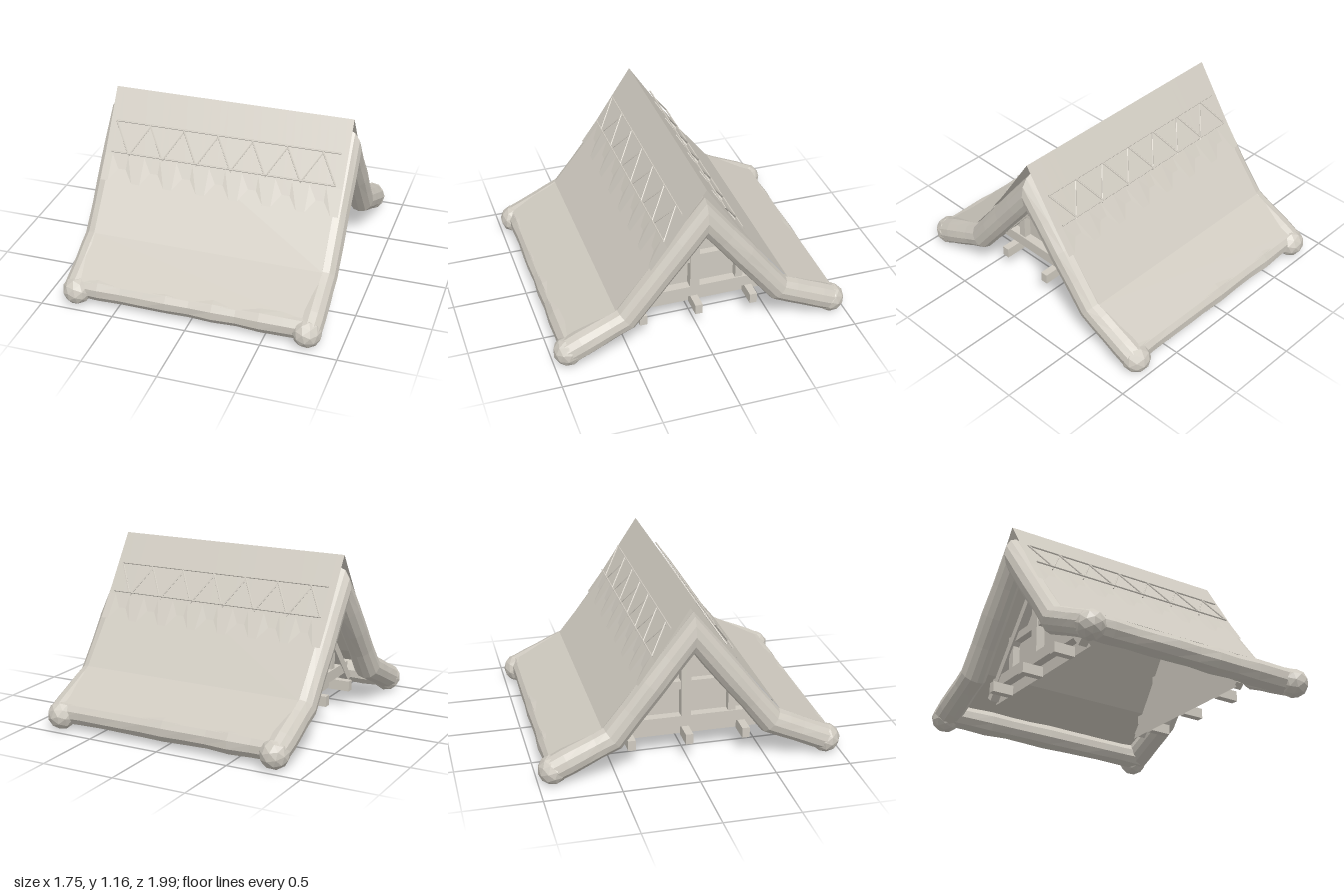
import * as THREE from 'three';

let seed = 7;
const rand = () => ((seed = (seed * 16807) % 2147483647) / 2147483647) * 2 - 1;

// Flat-shaded surface through rows of points
function grid(rows) {
  const pos = rows.flat().flat();
  const n = rows[0].length, index = [];
  for (let i = 0; i < rows.length - 1; i++) {
    for (let j = 0; j < n - 1; j++) {
      const a = i * n + j, b = a + n;
      index.push(a, b, b + 1, a, b + 1, a + 1);
    }
  }
  const g = new THREE.BufferGeometry();
  g.setAttribute('position', new THREE.Float32BufferAttribute(pos, 3));
  g.setIndex(index);
  const flat = g.toNonIndexed();
  flat.computeVertexNormals();
  return flat;
}

// Rough log following a mitred path in the xy plane
function logGeometry(path, r, wobble, sides = 10) {
  const rows = path.map((p, i) => {
    const a = path[Math.max(i - 1, 0)], b = path[Math.min(i + 1, path.length - 1)];
    const normal = (s, e) => new THREE.Vector2(s[1] - e[1], e[0] - s[0]).normalize();
    const n1 = i > 0 ? normal(a, p) : normal(p, b);
    const n2 = i < path.length - 1 ? normal(p, b) : n1;
    const n = n1.clone().add(n2).normalize();
    const mitre = 1 / n.dot(n1);
    const rr = r * (1 + rand() * wobble), ring = [];
    for (let j = 0; j < sides; j++) {
      const t = (j / sides) * Math.PI * 2 + Math.PI / 2;
      const k = rr * (1 + rand() * wobble * 0.4);
      ring.push([p[0] + n.x * mitre * k * Math.sin(t), p[1] + n.y * mitre * k * Math.sin(t), k * Math.cos(t)]);
    }
    return [...ring, ring[0]];
  });
  return grid(rows);
}

// Adds evenly spaced points between the corners of a path
function subdivide(corners, n) {
  const out = [corners[0]];
  for (let i = 1; i < corners.length; i++) {
    const [a, b] = [corners[i - 1], corners[i]];
    for (let k = 1; k <= n; k++) out.push([a[0] + (b[0] - a[0]) * k / n, a[1] + (b[1] - a[1]) * k / n]);
  }
  return out;
}

export function createModel() {
  seed = 7;
  const model = new THREE.Group();
  model.name = 'thatchedRoof';
  const straw = new THREE.MeshStandardMaterial({ color: 0xcfcac0, side: THREE.DoubleSide, flatShading: true });
  straw.name = 'pale straw';

  const add = (parent, name, geometry, x = 0, y = 0, z = 0) => {
    const m = new THREE.Mesh(geometry, straw);
    m.name = name;
    m.position.set(x, y, z);
    parent.add(m);
    return m;
  };
  const rod = (parent, name, a, b, r) => {
    const A = new THREE.Vector3(...a), B = new THREE.Vector3(...b);
    const m = add(parent, name, new THREE.CylinderGeometry(r, r, A.distanceTo(B), 6));
    m.position.copy(A).add(B).multiplyScalar(0.5);
    m.quaternion.setFromUnitVectors(new THREE.Vector3(0, 1, 0), B.sub(A).normalize());
  };

  // Both slopes, the back one turned half way round
  for (const side of ['front', 'back']) {
    const slope = new THREE.Group();
    slope.name = side + 'Slope';
    if (side === 'back') slope.rotation.y = Math.PI;
    model.add(slope);

    // Main thatch sheet, kicked out at the eaves
    const profile = [[0, 1.08], [0.585, 0.35], [0.92, 0.183]];
    add(slope, 'thatchSheet', grid(profile.map(([z, y]) => [-0.785, 0.785].map(x => [x, y, z]))));

    // Ridge cap with a scalloped lower edge
    const edge = [];
    const up = [0.705, 0.305], low = [0.635, 0.36];
    for (let k = -3; k <= 3; k++) {
      const c = k * 0.228;
      edge.push([c - 0.085, ...low], [c - 0.027, ...up], [c + 0.027, ...up], [c + 0.085, ...low]);
    }
    edge.unshift([-0.82, ...low]);
    edge.push([0.82, ...low]);
    add(slope, 'ridgeCap', grid([
      edge.map(([x]) => [x, 1.165, 0]),
      edge.map(([x]) => [x, 0.785, 0.251]),
      edge,
    ]));

    // Hazel rods pinned over the cap in a zigzag
    const top = [0.98, 0.14], bottom = [0.807, 0.26];
    for (const [y, z] of [top, bottom]) rod(slope, 'longRod', [-0.775, y, z], [0.775, y, z], 0.006);
    for (let i = 0; i < 7; i++) {
      const x = -0.775 + i * 0.238;
      rod(slope, 'diagonalRod', [x, ...top], [x + 0.12, ...bottom], 0.006);
      if (i < 6) rod(slope, 'crossRod', [x + 0.12, 0.785, 0.255], [x + 0.238, 0.96, 0.135], 0.005);
    }

    // Eaves log
    const eaves = logGeometry(subdivide([[-0.785, 0], [0.785, 0]], 10), 0.083, 0.06);
    add(slope, 'eavesLog', eaves, 0, 0.12, 0.866);
  }

  // Bent gable logs with knobbly ends
  const bend = [[-0.905, 0.105], [-0.52, 0.283], [0, 0.945], [0.52, 0.283], [0.905, 0.105]];
  for (const s of [-1, 1]) {
    const g = logGeometry(subdivide(bend, 4), 0.088, 0.035, 12);
    g.rotateY(-Math.PI / 2);
    add(model, 'gableLog', g, s * 0.785);
    for (const e of [-1, 1]) {
      const knob = add(model, 'logEnd', new THREE.IcosahedronGeometry(0.097, 1), s * 0.78, 0.102, e * 0.903);
      knob.rotation.set(0.4 * s, 0.7 * e, 0.3);
    }
  }

  // Timber-framed gable walls
  for (const s of [-1, 1]) {
    const gable = new THREE.Group();
    gable.name = s > 0 ? 'leftGable' : 'rightGable';
    gable.rotation.y = s > 0 ? 0 : Math.PI;
    model.add(gable);
    const box = (name, x, y, z, w, h, d) => add(gable, name, new THREE.BoxGeometry(w, h, d), x, y, z);

    add(gable, 'wallPanel', grid([
      [[0.57, 1.0, 0], [0.57, 1.0, 0]],
      [[0.57, 0.14, 0.585], [0.57, 0.14, -0.585]],
    ]));
    box('tieBeam', 0.6, 0.257, 0, 0.06, 0.075, 1.06);
    box('collarBeam', 0.595, 0.51, 0, 0.05, 0.055, 0.7);
    box('kingPost', 0.6, 0.57, 0, 0.06, 0.6, 0.065);
    for (const e of [-1, 1]) {
      box('stud', 0.595, 0.39, e * 0.31, 0.05, 0.22, 0.05);
      const rafter = box('rafter', 0.605, 0.495, e * 0.285, 0.06, 0.87, 0.05);
      rafter.rotation.x = -e * Math.atan2(0.56, 0.67);
    }
    for (const z of [-0.38, 0, 0.38]) box('joistEnd', 0.645, 0.168, z, 0.15, 0.07, 0.05);
  }
  return model;
}
